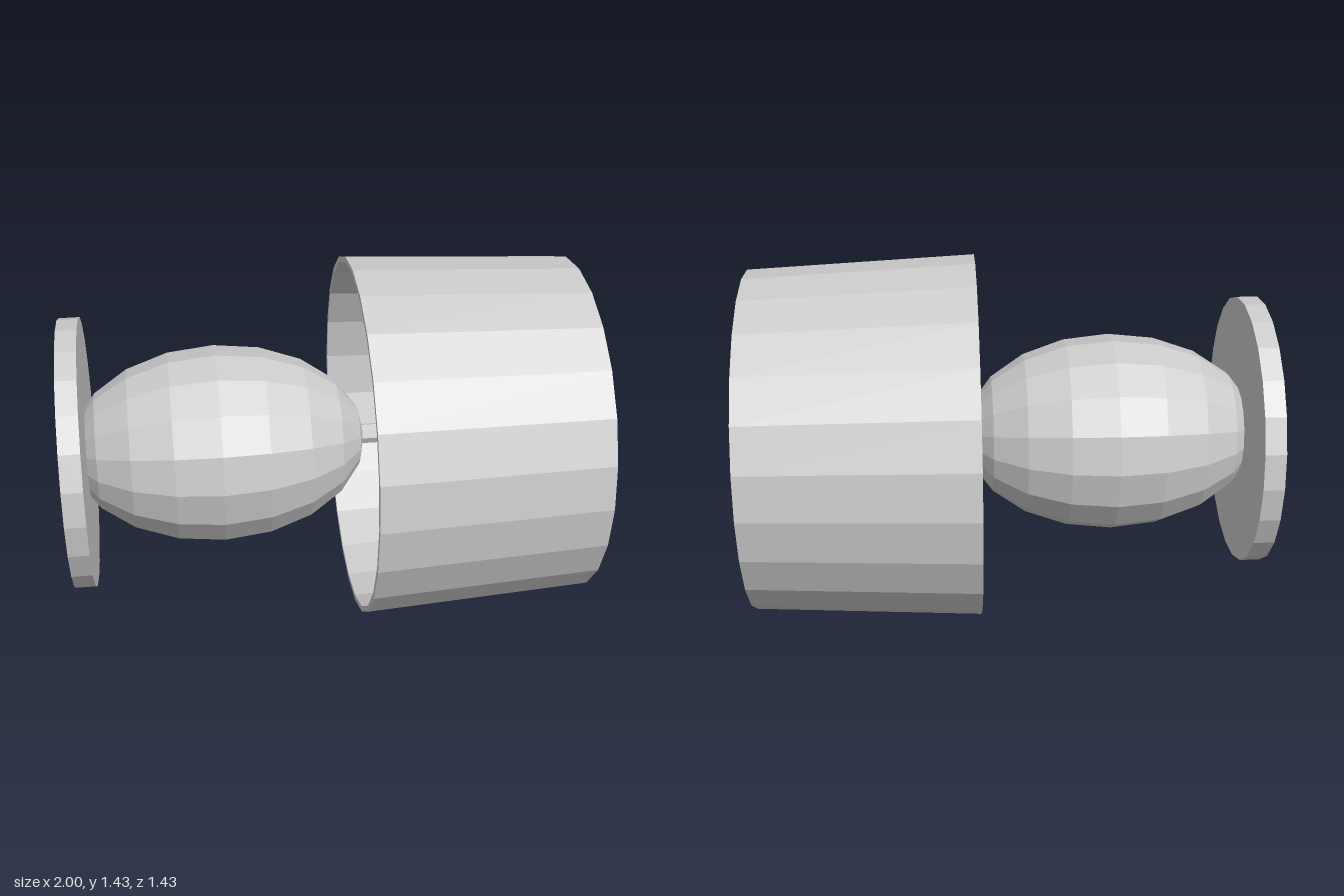
import * as THREE from 'three';

const material = new THREE.MeshStandardMaterial({ color: 0xcccccc, flatShading: true });

export function createModel() {
  const model = new THREE.Group();
  model.name = 'lamp';

  // The lamp is built upright along its axis, then laid along +x
  const lamp = new THREE.Group();
  lamp.name = 'lampOnItsSide';
  lamp.rotation.z = -Math.PI / 2;
  lamp.position.y = 0.717;
  model.add(lamp);

  function add(name, geometry, along = 0) {
    const mesh = new THREE.Mesh(geometry, material);
    mesh.name = name;
    mesh.position.y = along;
    lamp.add(mesh);
    return mesh;
  }

  // Flat round foot
  add('base', new THREE.CylinderGeometry(0.53, 0.53, 0.08, 24), -0.96);

  // Egg-shaped body, sunk into the foot
  add('body', new THREE.SphereGeometry(0.39, 16, 10).scale(1, 0.583 / 0.39, 1), -0.41);

  // Thin stem between body and bulb
  add('stem', new THREE.CylinderGeometry(0.04, 0.04, 0.28, 8), 0.28);

  // Bulb inside the shade
  add('bulb', new THREE.SphereGeometry(0.16, 12, 8).scale(1, 0.195 / 0.16, 1), 0.565);

  // Open, slightly tapered shade with wall thickness
  const profile = [
    [0.692, 0.12], [0.715, 0.12], [0.67, 1], [0.645, 1], [0.692, 0.12],
  ].map(([r, y]) => new THREE.Vector2(r, y));
  add('shade', new THREE.LatheGeometry(profile, 24));

  return model;
}
